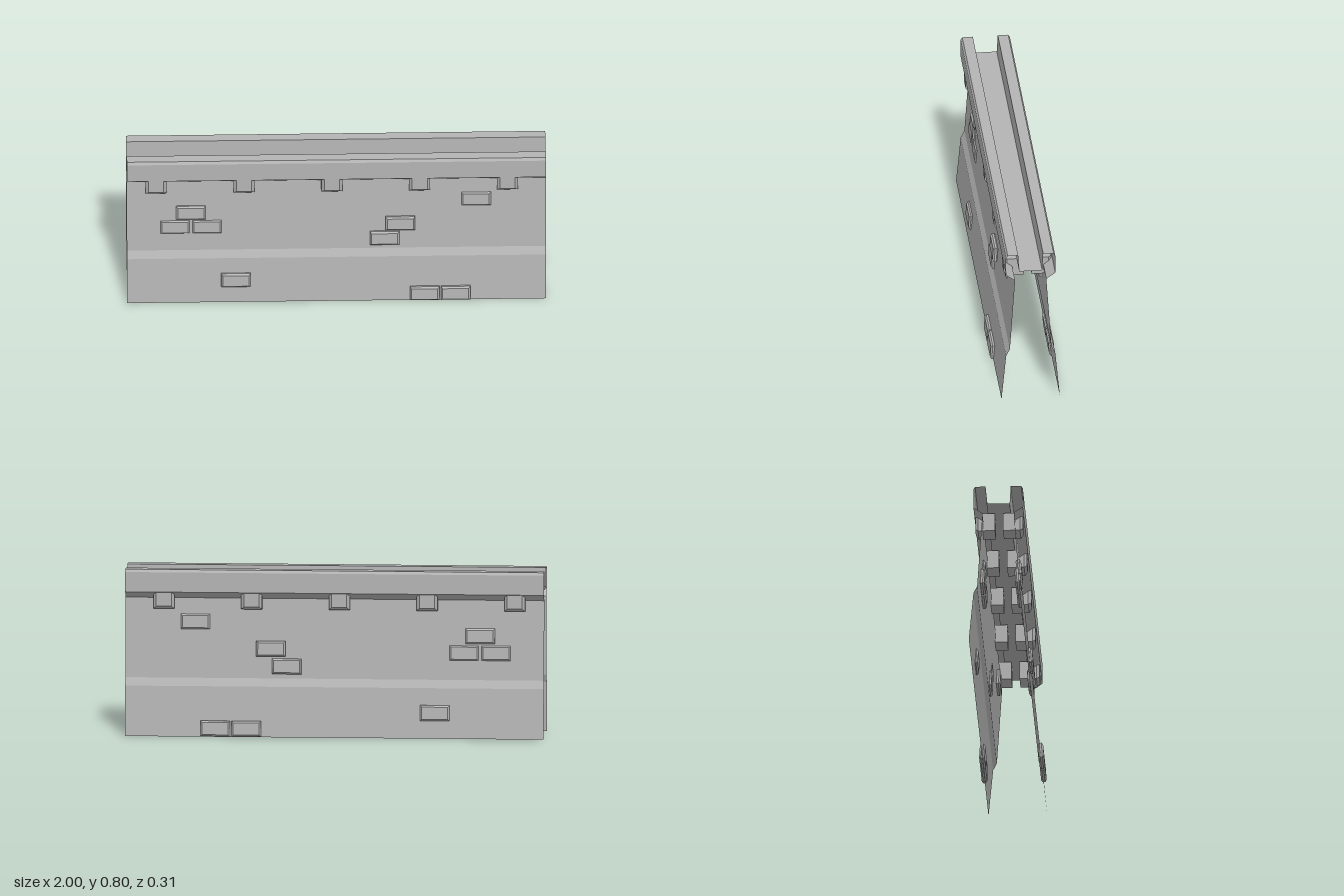
import * as THREE from 'three';

const stone = new THREE.MeshStandardMaterial({ color: 0xb4b4b4, side: THREE.DoubleSide });
stone.name = 'stone grey';

// Half cross-section as [z, y], from the foot of the wall to the walkway edge
const HALF = [
  [0.14, 0], [0.118, 0.24], [0.1, 0.278], [0.075, 0.66],
  [0.118, 0.692], [0.118, 0.787], [0.11, 0.8], [0.06, 0.8], [0.055, 0.71],
];

// Open strip swept along x through a run of [z, y] points, flat shaded
function sweep(points) {
  const pos = [];
  for (let i = 0; i < points.length - 1; i++) {
    const [z0, y0] = points[i], [z1, y1] = points[i + 1];
    pos.push(-1, y0, z0, 1, y0, z0, 1, y1, z1);
    pos.push(-1, y0, z0, 1, y1, z1, -1, y1, z1);
  }
  const g = new THREE.BufferGeometry();
  g.setAttribute('position', new THREE.Float32BufferAttribute(pos, 3));
  g.computeVertexNormals();
  return g;
}

// Box with chamfered edges, centred on the origin
function chamferedBox(w, h, d, c) {
  const x = w / 2 - c, y = h / 2 - c;
  const shape = new THREE.Shape([
    new THREE.Vector2(-x, -y), new THREE.Vector2(x, -y),
    new THREE.Vector2(x, y), new THREE.Vector2(-x, y),
  ]);
  const g = new THREE.ExtrudeGeometry(shape, {
    depth: d - 2 * c, bevelThickness: c, bevelSize: c, bevelSegments: 1,
  });
  return g.translate(0, 0, c - d / 2);
}

// Corbel: chamfered on its outer face and underside, square at the top and the inner end
function corbelGeometry() {
  const g = chamferedBox(0.1, 0.09, 0.095, 0.014);
  const p = g.attributes.position;
  for (let i = 0; i < p.count; i++) {
    if (p.getY(i) > 0) p.setY(i, 0.045);
    if (p.getZ(i) < 0) {
      p.setZ(i, -0.0475);
      p.setX(i, Math.sign(p.getX(i)) * 0.05);
      p.setY(i, Math.sign(p.getY(i)) * 0.045);
    }
  }
  g.computeVertexNormals();
  return g;
}

// Loose bricks as [x, y, z]
const BRICKS = [
  [-0.48, 0.122, 0.13], [0.42, 0.04, 0.14], [0.568, 0.04, 0.14],
  [0.23, 0.336, 0.099], [0.305, 0.421, 0.1], [0.667, 0.546, 0.077],
  [-0.77, 0.406, 0.085], [-0.617, 0.406, 0.085], [-0.694, 0.488, 0.087],
];

export function createModel() {
  const model = new THREE.Group();
  model.name = 'stoneWall';
  const add = (parent, name, geometry, x = 0, y = 0, z = 0) => {
    const mesh = new THREE.Mesh(geometry, stone);
    mesh.name = name;
    mesh.position.set(x, y, z);
    parent.add(mesh);
    return mesh;
  };

  const brick = chamferedBox(0.14, 0.074, 0.026, 0.008);
  const corbel = corbelGeometry();

  // Both faces of the wall match: the back is the front turned about and mirrored in x
  for (const side of [1, -1]) {
    const face = new THREE.Group();
    face.name = side > 0 ? 'frontFace' : 'backFace';
    if (side < 0) face.rotation.y = Math.PI;
    model.add(face);

    add(face, 'slopedWall', sweep(HALF.slice(0, 4)));
    add(face, 'parapet', sweep(HALF.slice(3)));
    for (const [x, y, z] of BRICKS) {
      add(face, 'brick', brick, x * side, y, z).rotation.x = -0.065;
    }
    for (let i = 0; i < 5; i++) {
      add(face, 'corbel', corbel, (-0.86 + i * 0.419) * side, 0.655, 0.0665);
    }
  }

  // Walkway between the parapets
  add(model, 'walkway', sweep([[0.055, 0.71], [-0.055, 0.71]]));
  return model;
}
